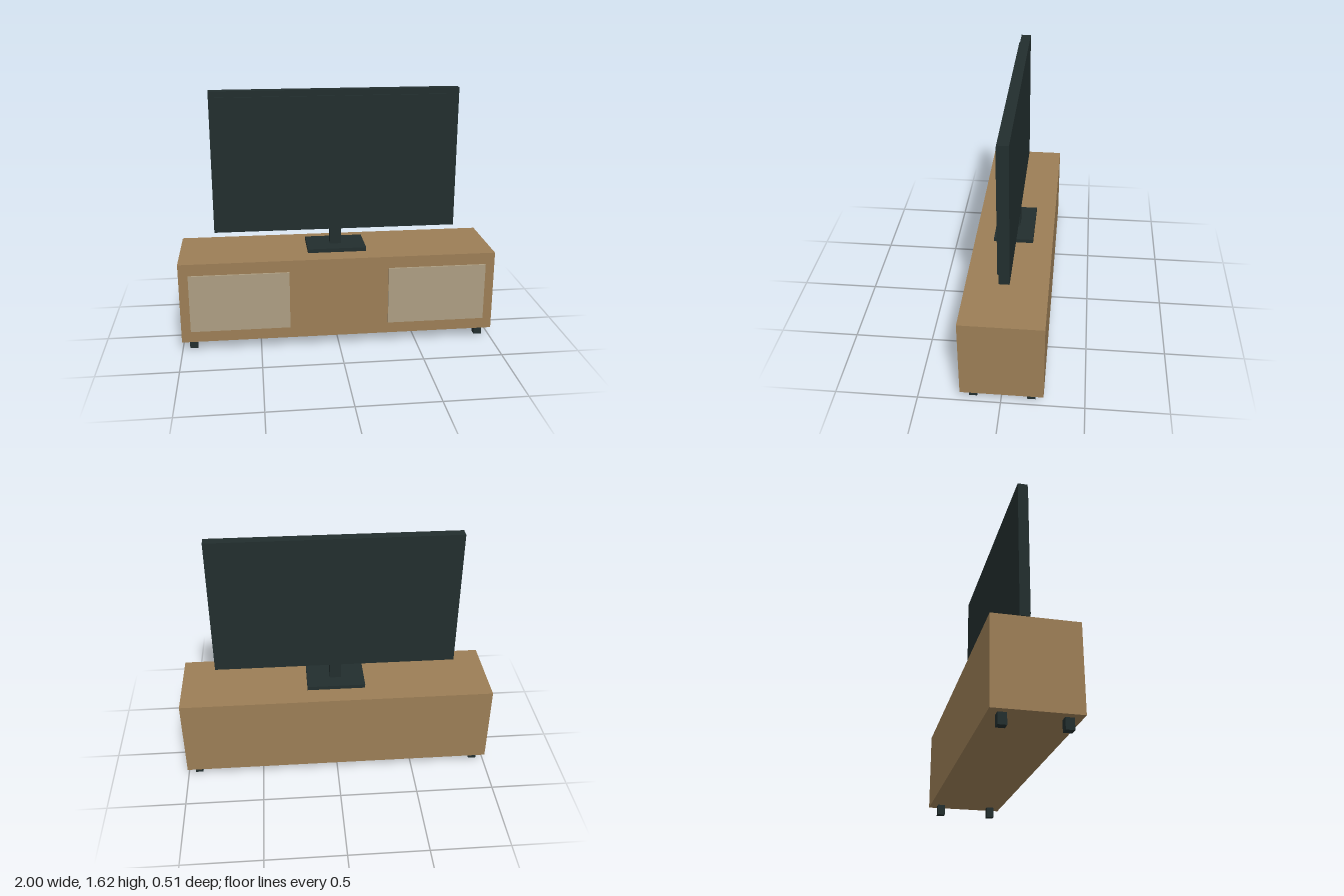
import * as THREE from 'three';

const wood = new THREE.MeshStandardMaterial({ name: 'wood', color: 0x9c7e56 });
const door = new THREE.MeshStandardMaterial({ name: 'paleDoor', color: 0xad9e82 });
const dark = new THREE.MeshStandardMaterial({ name: 'darkPlastic', color: 0x222e2e });

// Box spanning the given ranges on each axis
function box(name, material, [x0, x1], [y0, y1], [z0, z1]) {
  const mesh = new THREE.Mesh(new THREE.BoxGeometry(x1 - x0, y1 - y0, z1 - z0), material);
  mesh.position.set((x0 + x1) / 2, (y0 + y1) / 2, (z0 + z1) / 2);
  mesh.name = name;
  return mesh;
}

export function createModel() {
  const model = new THREE.Group();
  model.name = 'televisionOnCabinet';

  // Cabinet with two doors and four feet
  const cabinet = new THREE.Group();
  cabinet.name = 'cabinet';
  cabinet.add(box('cabinetBody', wood, [-1, 1], [0.067, 0.59], [-0.255, 0.243]));
  for (const [side, s] of [['left', 1], ['right', -1]]) {
    const cx = s * 0.627;
    cabinet.add(box(`${side}Door`, door, [cx - 0.313, cx + 0.313], [0.142, 0.515], [0.243, 0.255]));
    for (const [end, z] of [['Front', 0.17], ['Back', -0.18]]) {
      const x = s * 0.93;
      cabinet.add(box(`${side}${end}Foot`, dark, [x - 0.025, x + 0.025], [0, 0.067], [z - 0.025, z + 0.025]));
    }
  }

  // Television: stand, neck, casing and raised screen
  const television = new THREE.Group();
  television.name = 'television';
  television.add(
    box('standBase', dark, [-0.187, 0.187], [0.59, 0.615], [-0.13, 0.12]),
    box('standNeck', dark, [-0.036, 0.036], [0.615, 0.717], [-0.036, 0.026]),
    box('casing', dark, [-0.775, 0.775], [0.717, 1.615], [-0.036, 0.026]),
    box('screen', dark, [-0.738, 0.738], [0.753, 1.578], [0.026, 0.038]),
  );

  model.add(cabinet, television);
  return model;
}
